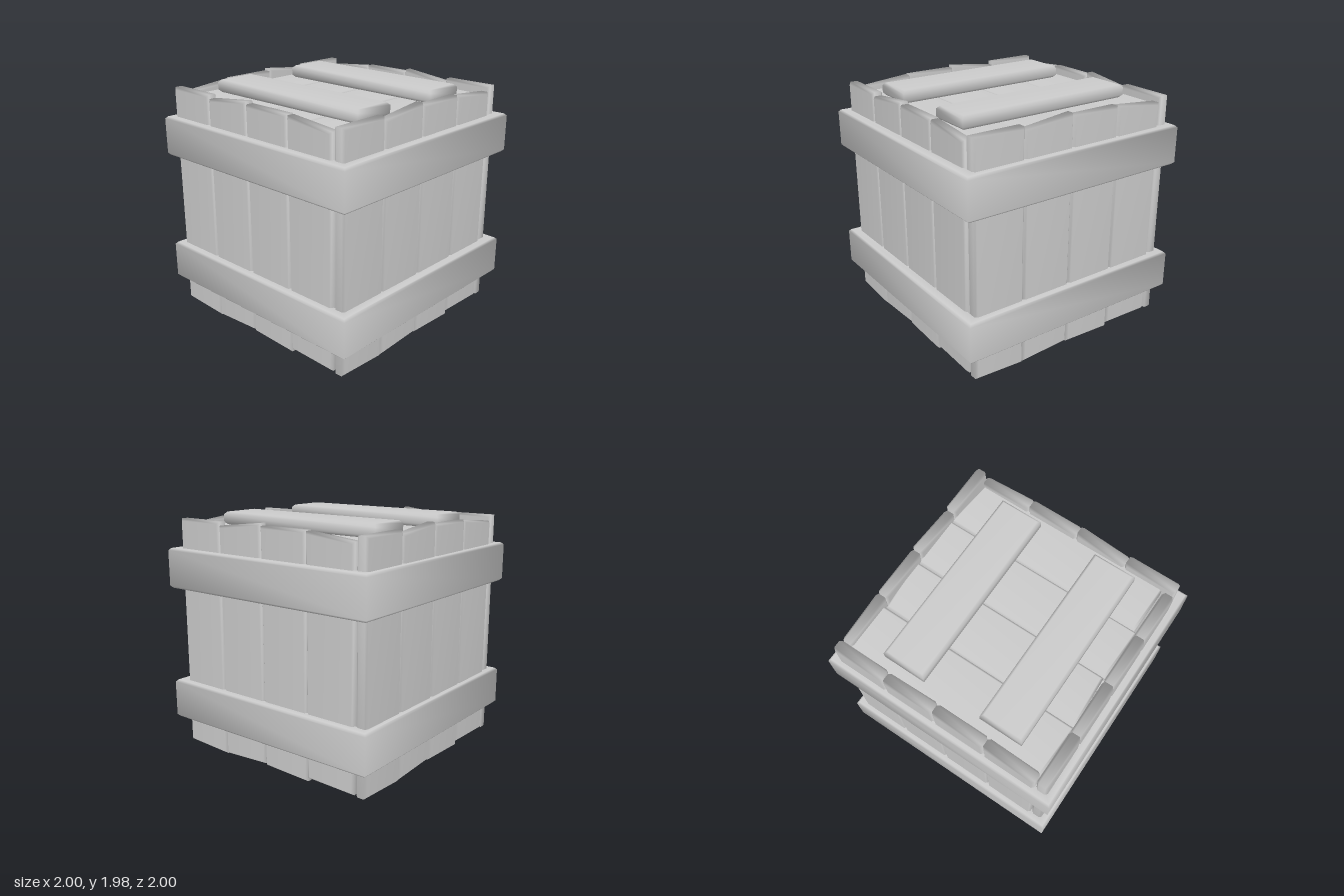
import * as THREE from 'three';
import { mergeVertices } from 'three/addons/utils/BufferGeometryUtils.js';

const material = new THREE.MeshStandardMaterial({ color: 0xcccccc });

// Extrude a bevelled outline; merged corners give soft, worn edges.
function bevelled(shape, depth, bevel) {
  let g = new THREE.ExtrudeGeometry(shape, {
    depth: depth - 2 * bevel, bevelEnabled: true, bevelSegments: 1,
    bevelSize: bevel, bevelThickness: bevel, bevelOffset: -bevel, curveSegments: 1,
  });
  g.translate(0, 0, bevel - depth / 2);
  g.deleteAttribute('uv');
  g.deleteAttribute('normal');
  g = mergeVertices(g, 1e-4);
  g.computeVertexNormals();
  return g;
}

function outline(points) {
  return new THREE.Shape(points.map(([x, y]) => new THREE.Vector2(x, y)));
}

function addMesh(parent, name, geometry) {
  const mesh = new THREE.Mesh(geometry, material);
  mesh.name = name;
  parent.add(mesh);
  return mesh;
}

// Board ends: [bottom left, bottom right, top right, top left]
const BOARD_ENDS = [
  [0.04, 0.02, 1.945, 1.945],
  [0.025, 0.05, 1.965, 1.915],
  [0.04, 0.025, 1.945, 1.945],
  [0.055, 0.045, 1.9, 1.94],
];
const PITCH = 0.439;

// Four side-by-side boards with slightly crooked ends, from x0 rightwards.
function boardPanel(name, x0, thickness) {
  const panel = new THREE.Group();
  panel.name = name;
  BOARD_ENDS.forEach(([bl, br, tr, tl], i) => {
    const l = x0 + i * PITCH + 0.002, r = l + PITCH - 0.004;
    addMesh(panel, 'board', bevelled(outline([[l, bl], [r, br], [r, tr], [l, tl]]), thickness, 0.018));
  });
  return panel;
}

// Inset panel of boards with two cleats across it, built facing up.
function lid(name) {
  const group = new THREE.Group();
  group.name = name;
  const boards = boardPanel('lidBoards', -0.888, 0.09);
  boards.rotation.x = -Math.PI / 2;
  boards.scale.y = 0.885;
  boards.position.set(0, 0.84, 0.865);
  group.add(boards);
  for (const z of [-0.412, 0.433]) {
    const cleat = addMesh(group, 'cleat',
      bevelled(outline([[-0.775, -0.178], [0.765, -0.178], [0.765, 0.178], [-0.775, 0.178]]), 0.105, 0.022));
    cleat.rotation.x = -Math.PI / 2;
    cleat.position.set(0, 0.9375, z);
  }
  return group;
}

// Square hoop around the crate.
function bandGeometry() {
  const square = (s) => [[-s, -s], [s, -s], [s, s], [-s, s]];
  const shape = outline(square(1));
  shape.holes.push(new THREE.Path(square(0.89).map(([x, y]) => new THREE.Vector2(x, y))));
  return bevelled(shape, 0.33, 0.018).rotateX(-Math.PI / 2);
}

export function createModel() {
  const crate = new THREE.Group();
  crate.name = 'crate';

  // Walls, each overlapping the next at the corner
  ['frontWall', 'rightWall', 'backWall', 'leftWall'].forEach((name, i) => {
    const pivot = new THREE.Group();
    pivot.name = name;
    const wall = boardPanel('wallBoards', -0.925, 0.095);
    wall.position.z = 0.888;
    pivot.add(wall);
    pivot.rotation.y = i * Math.PI / 2;
    pivot.position.x = -0.015;
    crate.add(pivot);
  });

  // Lid and matching underside
  const top = lid('lid');
  top.position.y = 0.993;
  const base = lid('base');
  base.rotation.x = Math.PI;
  base.position.y = 0.99;
  crate.add(top, base);

  // Bands
  const band = bandGeometry();
  addMesh(crate, 'lowerBand', band).position.y = 0.415;
  addMesh(crate, 'upperBand', band).position.y = 1.54;

  return crate;
}
